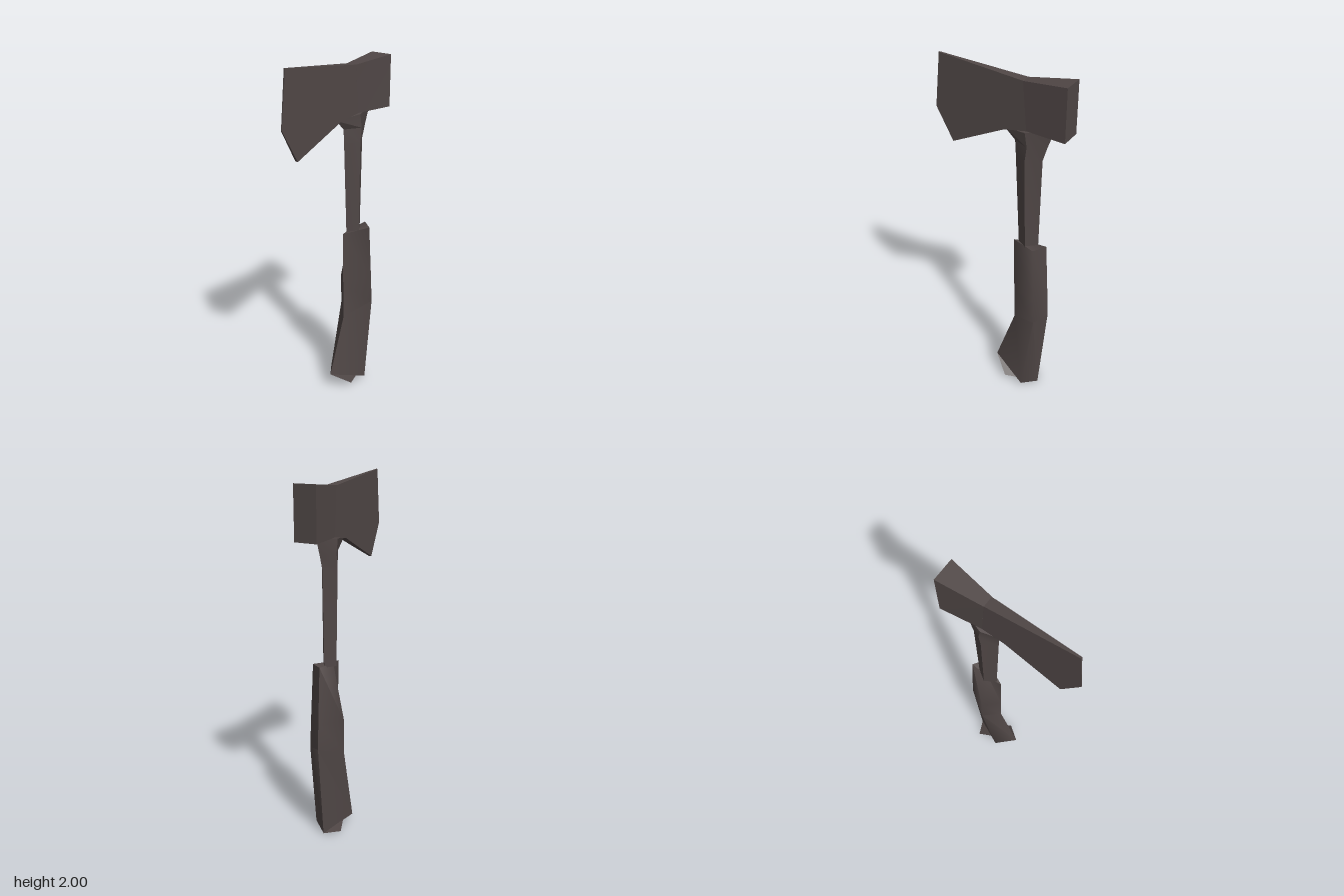
import * as THREE from 'three';
import { toCreasedNormals } from 'three/addons/utils/BufferGeometryUtils.js';

// Four-sided loft, sections listed from top to bottom, closed at the top.
// Section: [leftX, leftY, rightX, rightY, frontZ, backZ].
// front and back give where the ridges lie between left and right.
function loft(sections, front, back, crease) {
  const rings = sections.map(([lx, ly, rx, ry, zf, zb]) => {
    const at = (t, z) => new THREE.Vector3(lx + (rx - lx) * t, ly + (ry - ly) * t, z);
    return [at(0, 0), at(front, zf), at(1, 0), at(back, zb)];
  });
  const pos = [];
  const tri = (...pts) => pts.forEach((p) => pos.push(p.x, p.y, p.z));
  for (let i = 0; i < 4; i++) {
    const j = (i + 1) % 4;
    for (let k = 0; k + 1 < rings.length; k++) {
      const a = rings[k], b = rings[k + 1];
      tri(a[i], b[i], b[j]);
      tri(a[i], b[j], a[j]);
    }
  }
  const [l, f, r, b] = rings[0];
  tri(l, f, r);
  tri(l, r, b);
  const geo = new THREE.BufferGeometry();
  geo.setAttribute('position', new THREE.Float32BufferAttribute(pos, 3));
  return toCreasedNormals(geo, crease);
}

// Blade: side outline thinning towards the cutting edge
function bladeGeometry() {
  const outline = [[-0.36, 2.0], [-0.392, 1.7], [-0.29, 1.52], [0.03, 1.668], [0.16, 1.69], [0.138, 1.95]];
  const shape = new THREE.Shape(outline.map(([x, y]) => new THREE.Vector2(x, y)));
  const geo = new THREE.ExtrudeGeometry(shape, { depth: 2, bevelEnabled: false }).translate(0, 0, -1);
  const p = geo.attributes.position;
  for (let i = 0; i < p.count; i++) {
    const t = (p.getX(i) + 0.392) / 0.53;
    p.setZ(i, p.getZ(i) * (0.003 + 0.027 * t) + 0.003);
  }
  return toCreasedNormals(geo, 0.1);
}

// Poll: tapered box, open underneath and where it meets the blade
function pollGeometry() {
  const geo = new THREE.BoxGeometry(2, 2, 2);
  const p = geo.attributes.position;
  for (let i = 0; i < p.count; i++) {
    const t = (p.getX(i) + 1) / 2;
    const top = p.getY(i) > 0;
    const x0 = top ? 0.138 : 0.16;
    p.setXYZ(i, x0 + (0.39 - x0) * t, top ? 1.95 + 0.025 * t : 1.69,
      p.getZ(i) * (0.031 + 0.034 * t) + 0.003 + 0.002 * t);
  }
  const faces = Array.from(geo.index.array);
  geo.setIndex([0, 2, 4, 5].flatMap((side) => faces.slice(side * 6, side * 6 + 6)));
  geo.clearGroups();
  geo.computeVertexNormals();
  return geo;
}

// Butt: flat four-cornered plate, skewed against the grip
function buttGeometry() {
  const geo = new THREE.BufferGeometry();
  geo.setAttribute('position', new THREE.Float32BufferAttribute([
    -0.03, 0.11, 0, 0.07, 0.035, 0.08, 0.255, 0.005, 0,
    -0.03, 0.11, 0, 0.255, 0.005, 0, 0.215, 0.025, -0.09,
  ], 3));
  geo.setIndex([0, 2, 1, 3, 5, 4]);
  geo.computeVertexNormals();
  return geo;
}

export function createModel() {
  const group = new THREE.Group();
  const darkMetal = new THREE.MeshStandardMaterial({ color: 0x504746, side: THREE.DoubleSide });
  darkMetal.name = 'dark brown grey';
  const add = (name, geo) => {
    const mesh = new THREE.Mesh(geo, darkMetal);
    mesh.name = name;
    group.add(mesh);
  };

  add('blade', bladeGeometry());
  add('poll', pollGeometry());

  // Slim diamond-section shaft flaring under the head
  add('shaft', loft([
    [0.02, 1.668, 0.3, 1.705, 0.05, -0.045],
    [0.08, 1.61, 0.265, 1.61, 0.05, -0.045],
    [0.085, 1.53, 0.24, 1.53, 0.05, -0.045],
    [0.11, 1.0, 0.23, 1.0, 0.042, -0.04],
  ], 0.5, 0.5, 0.4));

  // Curved grip, its front ridge set to the right and its back ridge to the left
  add('grip', loft([
    [0.08, 1.0, 0.28, 1.015, 0.07, -0.012],
    [0.085, 0.68, 0.298, 0.7, 0.078, -0.085],
    [0.09, 0.46, 0.305, 0.55, 0.082, -0.088],
    [-0.03, 0.11, 0.255, 0.005, 0.09, -0.09],
  ], 0.76, 0.38, 1.5));
  add('butt', buttGeometry());

  return group;
}
